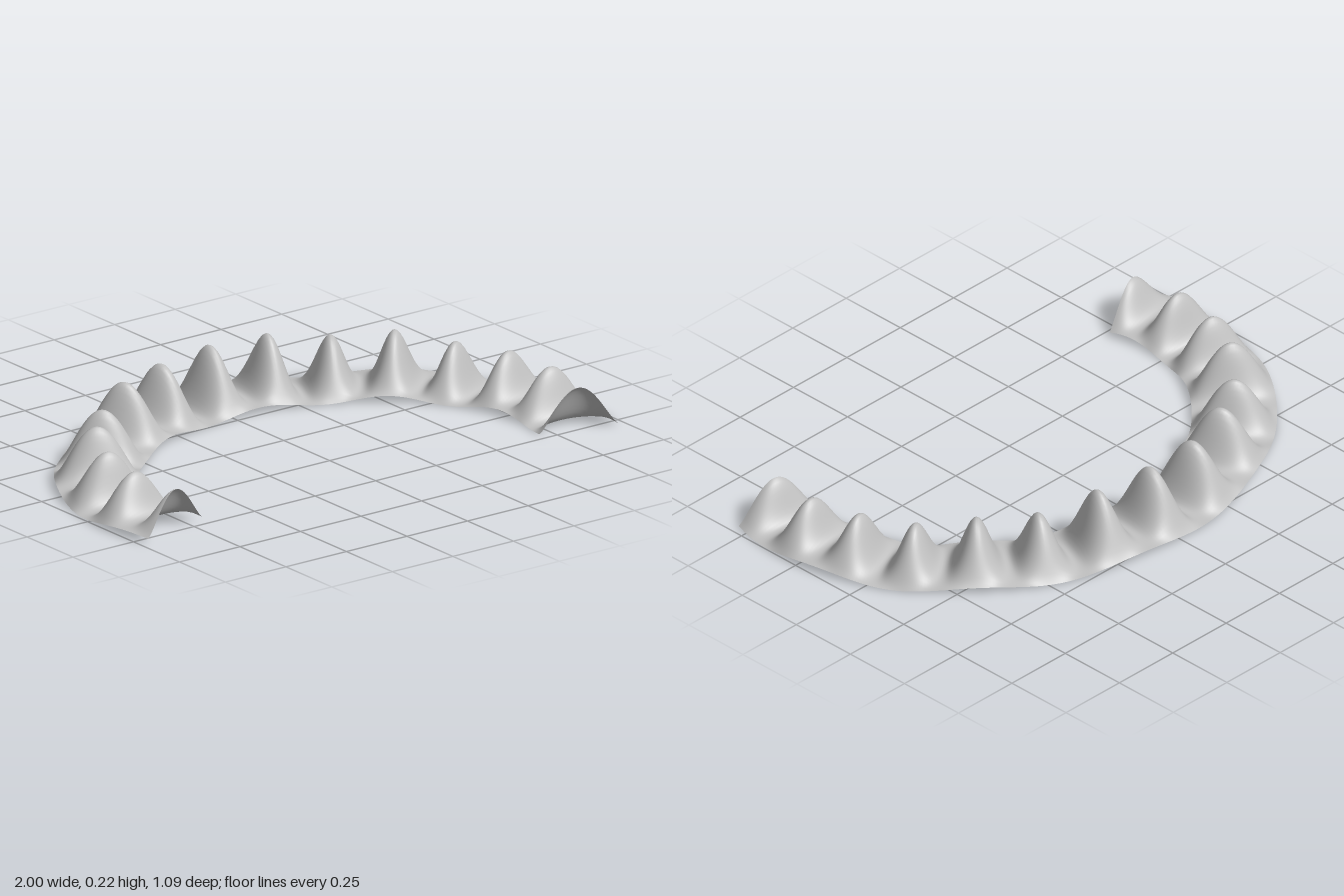
import * as THREE from 'three';

// Height of each crest, from the right end of the arc to the left end
const CRESTS = [0.15, 0.165, 0.175, 0.195, 0.183, 0.21, 0.21, 0.221, 0.221, 0.193, 0.205, 0.177, 0.175, 0.166, 0.15];
const HALF_ANGLE = 104; // degrees either side of the back
const ALONG = 336, ACROSS = 28;

// Point on the ribbon: s runs along the arc, w from the inner to the outer edge
function ribbonPoint(s, w) {
  const deg = (s * 2 - 1) * HALF_ANGLE;
  const a = THREE.MathUtils.degToRad(deg);
  const r = 0.718 + 0.282 * w;

  // low rolling wave of the edges
  const base = 0.012 + 0.011 * Math.cos((deg - 9) * Math.PI * 2 / 35.5);

  // row of bell-shaped crests, one at every whole step
  const k = s * (CRESTS.length - 1);
  const i = Math.min(Math.floor(k), CRESTS.length - 2);
  const crest = THREE.MathUtils.lerp(CRESTS[i], CRESTS[i + 1], THREE.MathUtils.smoothstep(k - i, 0, 1));
  const bell = Math.pow(0.5 + 0.5 * Math.cos(k * Math.PI * 2), 1.15);
  const arch = Math.pow(Math.max(0, Math.sin(Math.PI * w)), 1.25);
  const y = base + arch * (0.012 + (crest - base - 0.012) * bell);

  return [r * Math.sin(a), y, 0.33 - (r - 0.125) * Math.cos(a)];
}

export function createModel() {
  const group = new THREE.Group();
  group.name = 'ruffledArc';
  const grey = new THREE.MeshStandardMaterial({ color: 0xc0c0c0, side: THREE.DoubleSide });
  grey.name = 'lightGrey';

  // Grid of cross-sections swept round the arc
  const positions = [], index = [];
  for (let i = 0; i <= ALONG; i++) {
    for (let j = 0; j <= ACROSS; j++) {
      positions.push(...ribbonPoint(i / ALONG, j / ACROSS));
      if (i < ALONG && j < ACROSS) {
        const a = i * (ACROSS + 1) + j, b = a + ACROSS + 1;
        index.push(a, b, a + 1, b, b + 1, a + 1);
      }
    }
  }
  const geometry = new THREE.BufferGeometry();
  geometry.setAttribute('position', new THREE.Float32BufferAttribute(positions, 3));
  geometry.setIndex(index);
  geometry.computeVertexNormals();

  const ribbon = new THREE.Mesh(geometry, grey);
  ribbon.name = 'ruffledRibbon';
  group.add(ribbon);
  return group;
}
